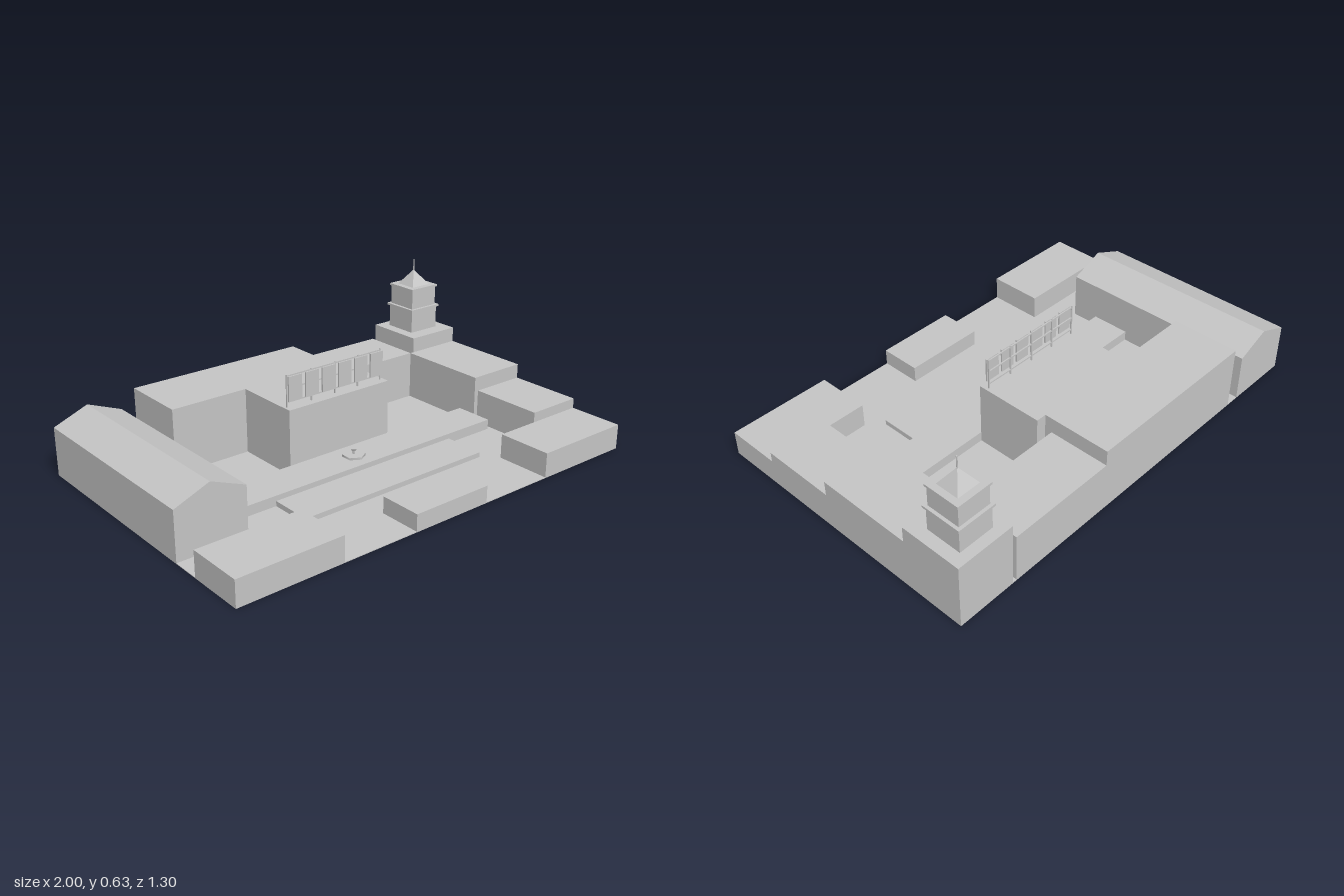
import * as THREE from 'three';

export function createModel() {
  const model = new THREE.Group();
  const stone = new THREE.MeshStandardMaterial({ color: 0xc4c4c4 });
  stone.name = 'stone';

  function add(name, geometry, x = 0, y = 0, z = 0, parent = model) {
    const mesh = new THREE.Mesh(geometry, stone);
    mesh.name = name;
    mesh.position.set(x, y, z);
    parent.add(mesh);
    return mesh;
  }

  // Box given by its limits on each axis
  function block(name, x0, x1, y0, y1, z0, z1, parent) {
    const g = new THREE.BoxGeometry(x1 - x0, y1 - y0, z1 - z0);
    return add(name, g, (x0 + x1) / 2, (y0 + y1) / 2, (z0 + z1) / 2, parent);
  }

  // Ground slab, terraces and steps
  const floor = 0.003;
  block('groundSlab', -1, 1, 0, floor, -0.65, 0.65);
  block('terrace', -0.69, 0.717, floor, 0.048, -0.03, 0.15);
  block('lowerStep', -0.47, 0.47, floor, 0.025, 0.15, 0.338);
  block('gateBlock', -0.187, 0.187, floor, 0.076, 0.46, 0.65);

  // Main hall with its projecting centre
  block('mainHall', -0.625, 0.22, floor, 0.294, -0.65, -0.34);
  block('centreHall', -0.265, 0.267, floor, 0.294, -0.34, -0.03);
  block('rearWing', 0.22, 0.717, floor, 0.224, -0.65, -0.373);

  // Stepped right side
  block('towerBase', 0.735, 1, floor, 0.294, -0.65, -0.373);
  block('rightWing', 0.717, 1, floor, 0.224, -0.373, 0.06);
  block('rightStep', 0.738, 1, floor, 0.157, 0.06, 0.4);
  block('frontRightBlock', 0.535, 1, floor, 0.112, 0.4, 0.65);
  block('frontLeftBlock', -1, -0.535, floor, 0.112, 0.4, 0.65);

  // Gabled long house on the right hand of the courtyard
  const gable = new THREE.Shape([
    new THREE.Vector2(-1, floor), new THREE.Vector2(-0.69, floor),
    new THREE.Vector2(-0.69, 0.215), new THREE.Vector2(-0.845, 0.277),
    new THREE.Vector2(-1, 0.215),
  ]);
  add('gabledHouse', new THREE.ExtrudeGeometry(gable, { depth: 0.927, bevelEnabled: false }), 0, 0, -0.65);

  // Tower: two square storeys with ledges, pyramid roof and spire
  const tower = new THREE.Group();
  tower.name = 'tower';
  tower.position.set(0.866, 0, -0.523);
  model.add(tower);
  const storeys = [
    ['lowerStorey', 0.16, 0.294, 0.4], ['lowerLedge', 0.178, 0.4, 0.41],
    ['upperStorey', 0.15, 0.41, 0.5], ['upperLedge', 0.162, 0.5, 0.51],
  ];
  for (const [name, w, y0, y1] of storeys) block(name, -w / 2, w / 2, y0, y1, -w / 2, w / 2, tower);
  const pyramid = new THREE.ConeGeometry(0.052 * Math.SQRT2, 0.072, 4, 1).toNonIndexed();
  pyramid.rotateY(Math.PI / 4);
  pyramid.computeVertexNormals();
  add('towerRoof', pyramid, 0, 0.546, 0, tower);
  add('spire', new THREE.CylinderGeometry(0.003, 0.003, 0.06, 6), 0, 0.603, 0, tower);

  // Rooftop sign: posts and rails behind six blank panels
  const sign = new THREE.Group();
  sign.name = 'roofSign';
  model.add(sign);
  for (let i = -2; i <= 2; i++) {
    const x = i * 0.125;
    block('signPost', x - 0.003, x + 0.003, 0.294, 0.436, -0.068, -0.062, sign);
  }
  for (const y of [0.317, 0.376, 0.43]) {
    block('signRail', -0.253, 0.253, y - 0.003, y + 0.003, -0.068, -0.062, sign);
  }
  for (let i = 0; i < 6; i++) {
    const x = (i - 2.5) * 0.087;
    block('signPanel', x - 0.034, x + 0.034, 0.322, 0.43, -0.056, -0.049, sign);
  }

  // Hexagonal fountain on the terrace
  const fountain = new THREE.Group();
  fountain.name = 'fountain';
  fountain.position.set(0, 0.048, 0.06);
  model.add(fountain);
  add('basin', new THREE.CylinderGeometry(0.05, 0.05, 0.01, 6), 0, 0.005, 0, fountain);
  add('fountainStem', new THREE.CylinderGeometry(0.005, 0.005, 0.02, 6), 0, 0.02, 0, fountain);
  add('fountainBowl', new THREE.CylinderGeometry(0.018, 0.012, 0.006, 4), 0, 0.031, 0, fountain);

  return model;
}
